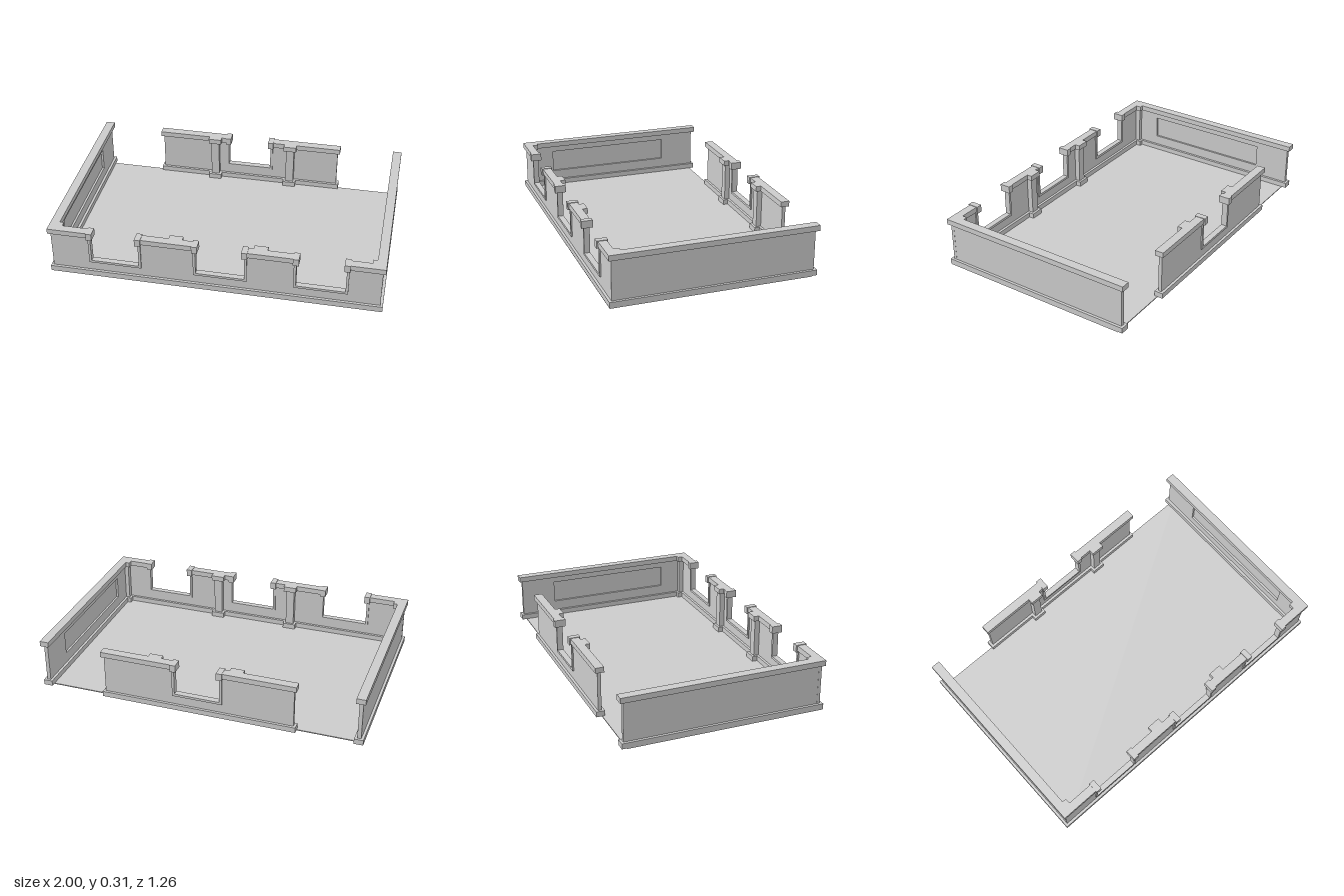
import * as THREE from 'three';

const mat = new THREE.MeshStandardMaterial({ color: 0xcccccc, flatShading: true });
const SILL = 0.095, TRIM = 0.015, BASE = 0.038, CAP = 0.279, TOP = 0.312;

function add(parent, name, geo) {
  const m = new THREE.Mesh(geo, mat);
  m.name = name;
  parent.add(m);
  return m;
}

// Box given by its limits on each axis
function box(parent, name, x0, x1, y0, y1, z0, z1) {
  const g = new THREE.BoxGeometry(x1 - x0, y1 - y0, Math.abs(z1 - z0));
  g.translate((x0 + x1) / 2, (y0 + y1) / 2, (z0 + z1) / 2);
  return add(parent, name, g);
}

// Extruded outline from z0 to z1
function slab(parent, name, pts, z0, z1, hole) {
  const shape = new THREE.Shape(pts.map(p => new THREE.Vector2(...p)));
  if (hole) shape.holes.push(new THREE.Path(hole.map(p => new THREE.Vector2(...p))));
  const g = new THREE.ExtrudeGeometry(shape, { depth: z1 - z0, bevelEnabled: false });
  g.translate(0, 0, z0);
  return add(parent, name, g);
}

const rect = (x0, x1, y0, y1) => [[x0, y0], [x1, y0], [x1, y1], [x0, y1]];

// Column with foot and head blocks, on the inner side of a wall
function pilaster(parent, name, x0, x1, zIn, zWall) {
  const s = Math.sign(zWall) * 0.015;
  box(parent, name + 'Foot', x0, x1, 0.005, BASE, zIn, zWall);
  box(parent, name + 'Shaft', x0 + 0.015, x1 - 0.015, BASE, CAP, zIn + s, zWall + s);
  box(parent, name + 'Head', x0, x1, CAP, TOP, zIn, zWall);
}

// Notched wall with base, caps and trimmed openings
// coreEnd: how far the core steps in at each end; z runs from zi to zo
function notchedWall(name, x0, x1, openings, zi, zo, half) {
  const g = new THREE.Group();
  g.name = name;
  const c0 = x0 + 0.015, c1 = x1 - 0.015;
  const pts = [[c0, 0.02], [c1, 0.02], [c1, CAP + 0.01]];
  for (const x of [...openings].reverse()) {
    pts.push([x + half, CAP + 0.01], [x + half, SILL], [x - half, SILL], [x - half, CAP + 0.01]);
  }
  pts.push([c0, CAP + 0.01]);
  slab(g, 'wallCore', pts, zi + 0.016, zo - 0.016);
  box(g, 'baseTrim', x0, x1, 0.005, BASE, zi, zo);

  let start = x0;
  for (const x of openings) {
    const h = half, i = half - TRIM;
    // U-shaped lining of the opening
    slab(g, 'openingTrim', [
      [x - h, SILL], [x + h, SILL], [x + h, CAP], [x + i, CAP],
      [x + i, SILL + TRIM], [x - i, SILL + TRIM], [x - i, CAP], [x - h, CAP],
    ], zi + 0.008, zo - 0.008);
    // Blocks that end the cap beside the opening
    for (const s of [-1, 1]) {
      const a = x + s * (h - 0.03), b = x + s * (h + 0.005);
      box(g, 'capEndBlock', Math.min(a, b), Math.max(a, b), 0.27, 0.315, zi - 0.008, zo + 0.008);
    }
    box(g, 'cap', start, x - h - 0.005, CAP, TOP, zi, zo);
    start = x + h + 0.005;
  }
  box(g, 'cap', start, x1, CAP, TOP, zi, zo);
  return g;
}

// Side wall with a recessed inner panel, drawn along its length and turned
function sideWall(side) {
  const g = new THREE.Group();
  g.name = side > 0 ? 'leftWall' : 'rightWall';
  const xa = side > 0 ? 0.945 : -1, xb = side > 0 ? 1 : -0.945;
  box(g, 'baseTrim', xa, xb, 0.005, BASE, -0.62, 0.618);
  box(g, 'cap', xa, xb, CAP, TOP, -0.625, 0.618);
  const outer = [side * 0.974, side * 0.984].sort((a, b) => a - b);
  box(g, 'wallCore', outer[0], outer[1], 0.02, CAP + 0.01, -0.605, 0.602);
  // Shape x maps to -z after the quarter turn
  const inner = [side * 0.961, side * 0.974].sort((a, b) => a - b);
  const panel = slab(g, 'panelSurround', rect(-0.602, 0.605, 0.02, CAP + 0.01),
    inner[0], inner[1], rect(-0.42, 0.38, 0.1, 0.24));
  panel.rotation.y = Math.PI / 2;
  return g;
}

export function createModel() {
  const model = new THREE.Group();
  model.name = 'walledRoom';

  box(model, 'floor', -0.998, 0.998, 0, 0.006, -0.59, 0.616);

  const front = notchedWall('frontWall', -1, 1, [-0.595, 0.04, 0.635], 0.567, 0.618, 0.16);
  const back = notchedWall('backWall', -0.603, 0.603, [0], -0.625, -0.572, 0.155);
  model.add(front, back, sideWall(1), sideWall(-1));

  // Inner pilasters on both long walls, plus the front corners
  for (const x of [-0.23, 0.275]) {
    pilaster(front, 'pilaster', x - 0.041, x + 0.041, 0.535, 0.57);
    pilaster(back, 'pilaster', x - 0.041, x + 0.041, -0.541, -0.575);
  }
  pilaster(front, 'cornerPilaster', 0.92, 0.985, 0.535, 0.57);
  pilaster(front, 'cornerPilaster', -0.985, -0.92, 0.535, 0.57);

  return model;
}
